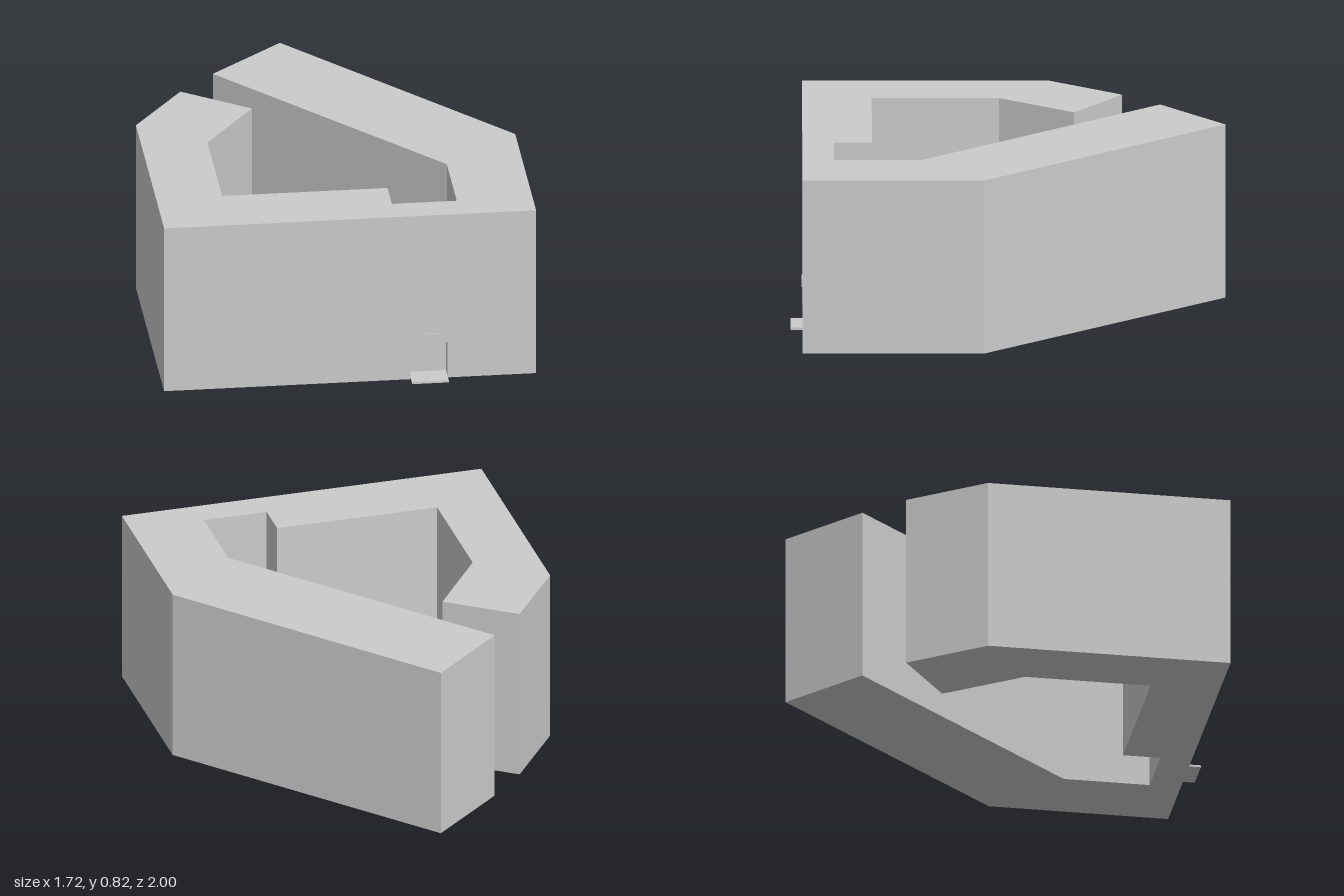
import * as THREE from 'three';
import { mergeGeometries } from 'three/addons/utils/BufferGeometryUtils.js';

const H = 0.825;                       // building height
const FRONT = 0.945, BACK = 0.885;     // front wall and back of the door recess (z)
const X0 = 0.28, X1 = 0.45, DOOR = 0.18;

// floor plan as [x, z], running from front left corner round the outside and courtyard
const plan = [
  [-0.86, FRONT], [0.86, FRONT], [0.86, 0.11], [-0.1, -1], [-0.445, -0.7],
  [0.51, 0.4], [0.51, 0.8], [0.21, 0.8], [0.21, 0.625], [-0.555, 0.625],
  [-0.555, 0.04], [-0.31, -0.305], [-0.615, -0.525], [-0.86, -0.185],
];
const recess = [[X0, FRONT], [X0, BACK], [X1, BACK], [X1, FRONT]];

const flat = (points) =>
  new THREE.ShapeGeometry(new THREE.Shape(points.map(([x, y]) => new THREE.Vector2(x, y))));

// upright wall from plan point a to b, facing right of the direction of travel
function wall([ax, az], [bx, bz], height) {
  const g = new THREE.PlaneGeometry(Math.hypot(bx - ax, bz - az), height);
  g.rotateY(-Math.atan2(bz - az, bx - ax));
  return g.translate((ax + bx) / 2, height / 2, (az + bz) / 2);
}

export function createModel() {
  const group = new THREE.Group();
  const material = new THREE.MeshStandardMaterial({ color: 0xcccccc, flatShading: true });
  const add = (name, geometry) => {
    const mesh = new THREE.Mesh(geometry, material);
    mesh.name = name;
    group.add(mesh);
    return mesh;
  };

  // outer and courtyard walls, all but the front
  add('walls', mergeGeometries(
    plan.slice(1).map((p, i) => wall(p, plan[(i + 2) % plan.length], H))));

  // front wall with the door opening
  add('frontWall', flat([
    [-0.86, 0], [X0, 0], [X0, DOOR], [X1, DOOR], [X1, 0], [0.86, 0], [0.86, H], [-0.86, H],
  ]).translate(0, 0, FRONT));

  // roof and underside
  add('roof', flat(plan.map(([x, z]) => [x, -z])).rotateX(-Math.PI / 2).translate(0, H, 0));
  add('underside', flat([plan[0], ...recess, ...plan.slice(1)]).rotateX(Math.PI / 2));

  // sides, back and ceiling of the door recess
  const ceiling = new THREE.PlaneGeometry(X1 - X0, FRONT - BACK).rotateX(Math.PI / 2)
    .translate((X0 + X1) / 2, DOOR, (FRONT + BACK) / 2);
  add('doorRecess', mergeGeometries(
    [0, 1, 2].map((i) => wall(recess[i], recess[i + 1], DOOR)).concat(ceiling)));

  // door step, running from the recess out past the wall
  add('doorStep', new THREE.BoxGeometry(X1 - X0, 0.01, 1 - BACK))
    .position.set((X0 + X1) / 2, 0.005, (1 + BACK) / 2);

  // small plain plate above the door
  add('doorPlate', new THREE.BoxGeometry(0.09, 0.035, 0.004))
    .position.set((X0 + X1) / 2, 0.21, FRONT + 0.002);

  return group;
}
